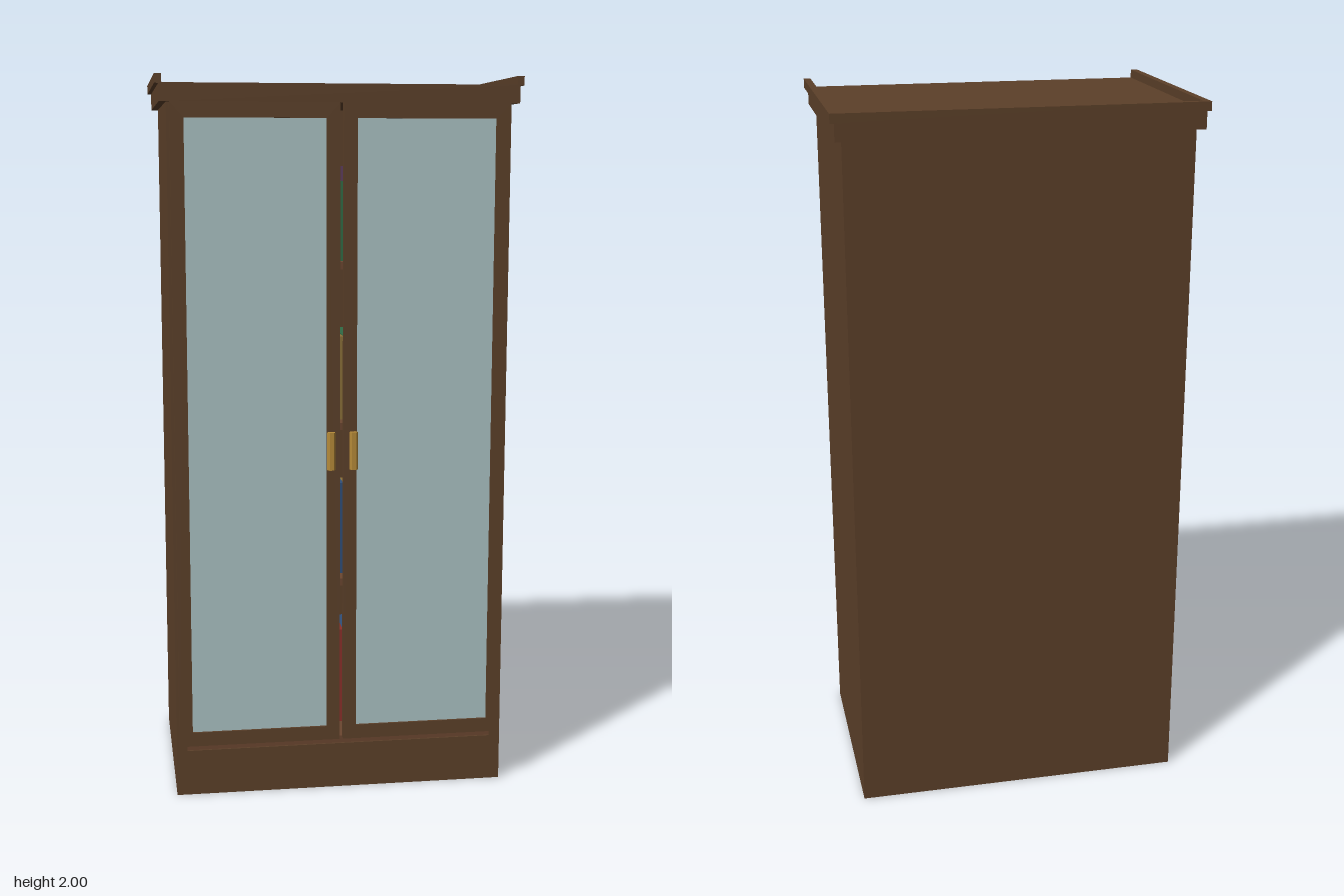
import * as THREE from 'three';

const mat = (color) => new THREE.MeshStandardMaterial({ color });

export function createModel() {
  const model = new THREE.Group();
  const wood = mat(0x5c4029), shelfWood = mat(0x6b4630);
  const glass = mat(0xabc2c4), brass = mat(0xb58a38);

  // Box given by its min and max corners
  function box(name, material, x0, x1, y0, y1, z0, z1, parent = model) {
    const mesh = new THREE.Mesh(new THREE.BoxGeometry(x1 - x0, y1 - y0, z1 - z0), material);
    mesh.position.set((x0 + x1) / 2, (y0 + y1) / 2, (z0 + z1) / 2);
    mesh.name = name;
    parent.add(mesh);
    return mesh;
  }

  // Carcass
  box('plinth', wood, -0.467, 0.467, 0, 0.13, -0.32, 0.3);
  box('backPanel', wood, -0.437, 0.437, 0.13, 1.93, -0.32, -0.3);
  box('bottomPanel', shelfWood, -0.437, 0.437, 0.13, 0.15, -0.3, 0.295);
  for (const s of [-1, 1]) {
    const x = s * 0.452;
    box('sidePanel', wood, x - 0.015, x + 0.015, 0.13, 1.93, -0.32, 0.3);
  }

  // Shelves, each with a row of books
  const bookColors = [0x8a2f2a, 0x2f4f7a, 0x8a7038, 0x2f6b45, 0x5a3a5c].map(mat);
  [0.15, 0.6, 1.05, 1.5].forEach((y, row) => {
    if (row) box('shelf', shelfWood, -0.437, 0.437, y - 0.02, y, -0.3, 0.24);
    const books = new THREE.Group();
    books.name = 'bookRow';
    for (let i = -6; i <= 6; i++) {
      const h = 0.25 + 0.03 * Math.cos(i * 2.1 + row);
      const c = bookColors[(i + 10 + row) % 5];
      box('book', c, i * 0.062 - 0.026, i * 0.062 + 0.026, y, y + h, -0.12, 0.18, books);
    }
    model.add(books);
  });

  // Cornice with a raised rim on the sides and back
  box('cornice', wood, -0.486, 0.486, 1.928, 1.977, -0.343, 0.318);
  box('backRim', wood, -0.497, 0.497, 1.975, 2, -0.345, -0.329);
  for (const s of [-1, 1]) {
    const x = s * 0.4875;
    box('sideRim', wood, x - 0.0095, x + 0.0095, 1.975, 2, -0.329, 0.318);
  }

  // Pair of glazed doors with hexagonal pulls
  for (const s of [-1, 1]) {
    const door = new THREE.Group();
    door.name = s > 0 ? 'leftDoor' : 'rightDoor';
    const rect = (P, x0, x1, y0, y1) => new P([[x0, y0], [x1, y0], [x1, y1], [x0, y1]]
      .map(([x, y]) => new THREE.Vector2(x, y)));
    const cx = s * 0.232;
    const outline = rect(THREE.Shape, cx - 0.227, cx + 0.227, 0.15, 1.928);
    outline.holes.push(rect(THREE.Path, cx - 0.19, cx + 0.19, 0.19, 1.887));
    const frame = new THREE.Mesh(
      new THREE.ExtrudeGeometry(outline, { depth: 0.019, bevelEnabled: false }), wood);
    frame.position.z = 0.3;
    frame.name = 'doorFrame';
    door.add(frame);
    box('glassPane', glass, cx - 0.19, cx + 0.19, 0.19, 1.887, 0.307, 0.313, door);

    const handle = new THREE.Mesh(new THREE.CylinderGeometry(0.012, 0.012, 0.105, 6), brass);
    handle.material.flatShading = true;
    handle.rotation.y = Math.PI / 6;
    handle.position.set(s * 0.031, 0.988, 0.333);
    handle.name = 'doorHandle';
    door.add(handle);
    model.add(door);
  }
  return model;
}
